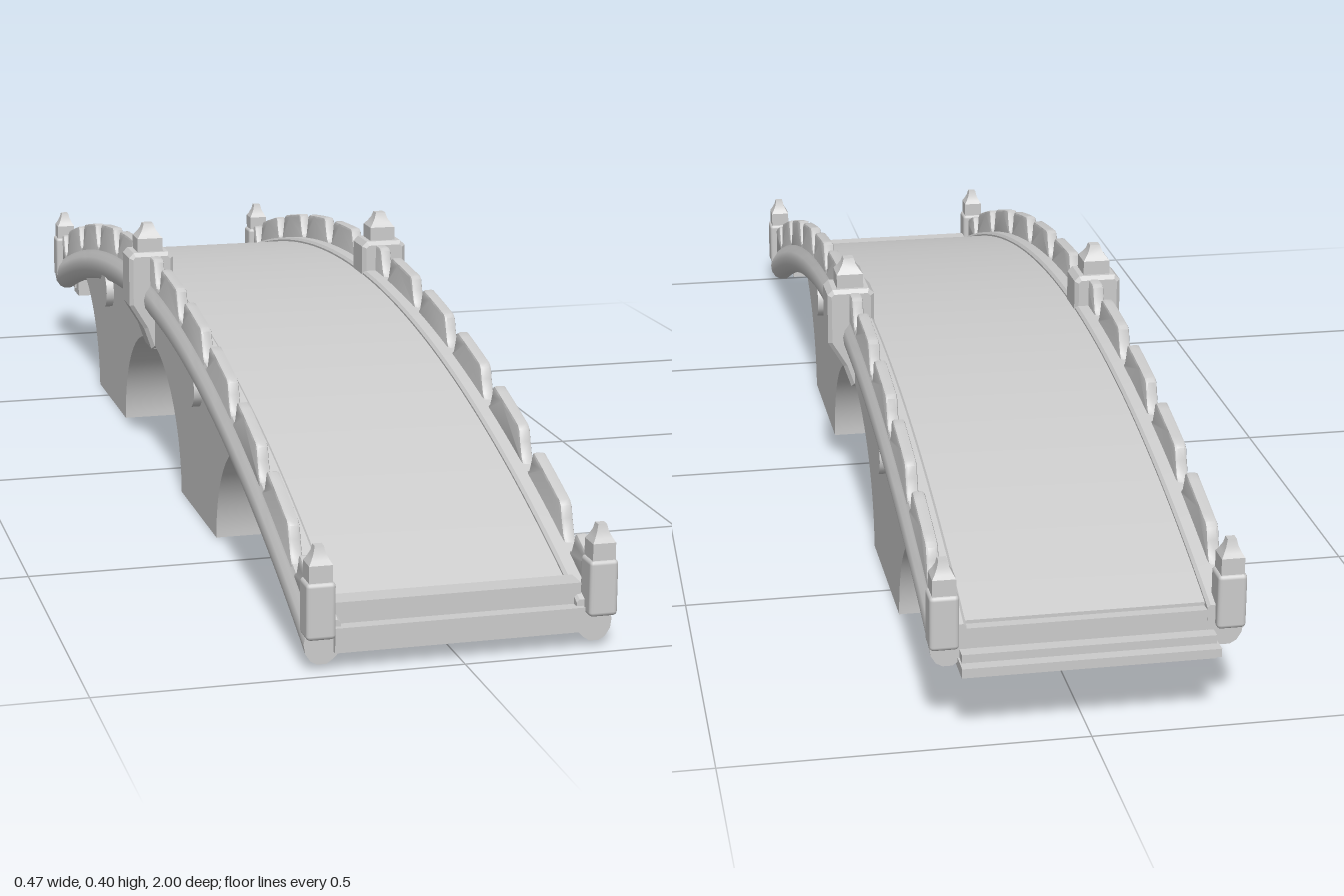
import * as THREE from 'three';
import { toCreasedNormals } from 'three/addons/utils/BufferGeometryUtils.js';
import { RoundedBoxGeometry } from 'three/addons/geometries/RoundedBoxGeometry.js';

const MID = -0.1;               // z of the middle posts and main arch
const stone = new THREE.MeshStandardMaterial({ color: 0xcccccc, side: THREE.DoubleSide });

// How far the bridge has fallen from its crest at a given z
const drop = z => 0.196 * (z + 0.12) ** 2;

function part(name, geometry, x = 0, y = 0, z = 0) {
  const mesh = new THREE.Mesh(geometry, stone);
  mesh.name = name;
  mesh.position.set(x, y, z);
  return mesh;
}

const shapeOf = pts => new THREE.Shape(pts.map(p => new THREE.Vector2(...p)));

// Cross-section in x, y drawn out along z and bent over the bridge curve
function sweep(pts, z0, z1, steps = 48) {
  const geo = new THREE.ExtrudeGeometry(shapeOf(pts), { depth: z1 - z0, steps, bevelEnabled: false });
  geo.translate(0, 0, z0);
  const p = geo.attributes.position;
  for (let i = 0; i < p.count; i++) p.setY(i, p.getY(i) - drop(p.getZ(i)));
  return toCreasedNormals(geo, 0.6);
}

const rect = (x0, y0, x1, y1) => [[x0, y0], [x1, y0], [x1, y1], [x0, y1]];

// Parapet wall with rounded notches along its top
function railGeometry(z0, z1) {
  const notches = [];
  for (let k = -5; k <= 5; k++) notches.push(MID + 0.09 * Math.sign(k || 1) + 0.177 * (k > 0 ? k : k < 0 ? k + 1 : 0));
  const cut = [[-0.029, 0.341], [-0.024, 0.326], [-0.016, 0.308], [-0.007, 0.301],
    [0.007, 0.301], [0.016, 0.308], [0.024, 0.326], [0.029, 0.341]];
  const pts = [];
  const add = (z, y) => pts.push([z, y - drop(z)]);
  let start = z0;
  for (const n of [...notches.sort((a, b) => a - b), null]) {
    const end = n === null ? z1 : n - 0.036;
    for (let i = 0; i <= 6; i++) add(start + (end - start) * i / 6, 0.345);
    if (n === null) break;
    cut.forEach(([dz, y]) => add(n + dz, y));
    start = n + 0.036;
  }
  for (let i = 0; i <= 40; i++) add(z1 + (z0 - z1) * i / 40, 0.285);
  const geo = new THREE.ExtrudeGeometry(shapeOf(pts), {
    depth: 0.01, bevelEnabled: true, bevelThickness: 0.004, bevelSize: 0.004, bevelOffset: -0.004, bevelSegments: 2,
  });
  geo.rotateY(-Math.PI / 2);
  geo.translate(0.198, 0, 0);
  return toCreasedNormals(geo, 0.6);
}

// Four-sided finial, with half-width r and height h
function finialGeometry(r, h) {
  const d = r * Math.SQRT2;
  const pts = [[d, 0], [d, 0.5], [d * 0.78, 0.62], [d * 0.52, 0.8], [d * 0.38, 1], [0, 1]]
    .map(([a, b]) => new THREE.Vector2(a, b * h));
  const geo = new THREE.LatheGeometry(pts, 4);
  geo.rotateY(Math.PI / 4);
  return toCreasedNormals(geo, 0.4);
}

function endPost(z, y) {
  const g = new THREE.Group();
  g.name = 'endPost';
  g.add(part('postBlock', new RoundedBoxGeometry(0.04, 0.078, 0.04, 2, 0.006), 0, 0.039, 0));
  g.add(part('postFinial', finialGeometry(0.016, 0.048), 0, 0.077, 0));
  g.position.set(0.194, y, z);
  return g;
}

function middlePost() {
  const g = new THREE.Group();
  g.name = 'middlePost';
  const outline = [[0.162, 0.25], [0.18, 0.215], [0.19, 0.187], [0.2, 0.187], [0.212, 0.222],
    [0.236, 0.262], [0.236, 0.342], [0.228, 0.35], [0.17, 0.35], [0.162, 0.342]];
  const body = new THREE.ExtrudeGeometry(shapeOf(outline), {
    depth: 0.054, bevelEnabled: true, bevelThickness: 0.006, bevelSize: 0.006, bevelOffset: -0.006, bevelSegments: 1,
  });
  g.add(part('postBody', body, 0, 0, MID - 0.027));
  g.add(part('postFinial', finialGeometry(0.021, 0.046), 0.199, 0.349, MID));
  return g;
}

// Piers and arches: one sheet of cross-sections, with a cross tunnel under the middle
function archGeometry() {
  const A = 0.235, B = 0.485, S = 0.22, N = 28;   // half span, outer foot, side arch radius
  const half = [];
  for (let i = 0; i <= N; i++) {
    const t = i / N * Math.PI / 2;
    half.push([A * Math.sin(t), 0.195 * Math.cos(t)]);
  }
  for (let i = 1; i < 10; i++) half.push([A + (B - A) * i / 10, 0]);
  for (let i = 0; i <= N; i++) {
    const t = i / N * Math.PI / 2;
    half.push([B + S * (1 - Math.cos(t)), 0.19 * Math.sin(t)]);
  }
  const rows = [...half.slice(1).reverse().map(([d, y]) => [MID - d, y]), ...half.map(([d, y]) => [MID + d, y])];
  const columns = [[0.195, Infinity], [0.195, 0], [0.095, 0]];
  for (let i = 0; i <= 20; i++) {
    const t = i / 20 * Math.PI;
    columns.push([0.095 * Math.cos(t), 0.055 + 0.095 * Math.sin(t)]);
  }
  columns.push([-0.095, 0], [-0.195, 0], [-0.195, Infinity]);
  const pos = [], index = [], w = columns.length;
  rows.forEach(([z, arch], r) => columns.forEach(([x, floor], c) => {
    pos.push(x, Math.min(Math.max(arch, floor), 0.268 - drop(z)), z);
    if (r && c) {
      const a = (r - 1) * w + c - 1, b = r * w + c - 1;
      index.push(a, a + 1, b, b, a + 1, b + 1);
    }
  }));
  const geo = new THREE.BufferGeometry();
  geo.setAttribute('position', new THREE.Float32BufferAttribute(pos, 3));
  geo.setIndex(index);
  return toCreasedNormals(geo, 0.5);
}

export function createModel() {
  const model = new THREE.Group();
  model.name = 'archBridge';

  // Walkway and the ribs beneath it
  model.add(part('deck', sweep(rect(-0.18, 0.266, 0.18, 0.295), -0.95, 0.94)));
  for (const z of [MID - 0.72, MID + 0.72])
    model.add(part('crossRib', sweep(rect(-0.18, 0.245, 0.18, 0.268), z - 0.025, z + 0.025, 2)));
  model.add(part('crownBeam', new THREE.BoxGeometry(0.39, 0.02, 0.045), 0, 0.195, MID));
  model.add(part('archesAndPiers', archGeometry()));

  // Steps at the two ends
  for (const [z, y, s] of [[0.955, 0.087, 1], [-0.955, 0.155, -1]]) {
    model.add(part('sill', new THREE.BoxGeometry(0.345, 0.034, 0.035), 0, y - 0.017, z - 0.008 * s));
    model.add(part('step', new THREE.BoxGeometry(0.345, 0.034, 0.05), 0, y - 0.046, z + 0.003 * s));
  }
  model.add(part('backLedge', new THREE.BoxGeometry(0.35, 0.012, 0.04), 0, 0.108, -0.98));

  // One side of the bridge, then its mirror image
  const beam = [[0.163, 0.26], [0.163, 0.298], [0.167, 0.302], [0.2, 0.302], [0.204, 0.292], [0.21, 0.284],
    [0.213, 0.272], [0.211, 0.259], [0.204, 0.248], [0.195, 0.243], [0.182, 0.243], [0.172, 0.25]];
  for (const s of [1, -1]) {
    const side = new THREE.Group();
    side.name = s > 0 ? 'leftSide' : 'rightSide';
    side.add(part('edgeBeam', sweep(beam, -0.965, 0.975)));
    side.add(part('parapet', railGeometry(-0.955, 0.97)));
    side.add(endPost(0.975, 0.047), endPost(-0.957, 0.13), middlePost());
    for (const z of [MID - 0.363, MID + 0.363]) {
      const spout = new THREE.CylinderGeometry(0.03, 0.03, 0.04, 20);
      spout.rotateZ(Math.PI / 2);
      side.add(part('drainSpout', spout, 0.188, 0.205, z));
    }
    side.scale.x = s;
    model.add(side);
  }
  return model;
}
